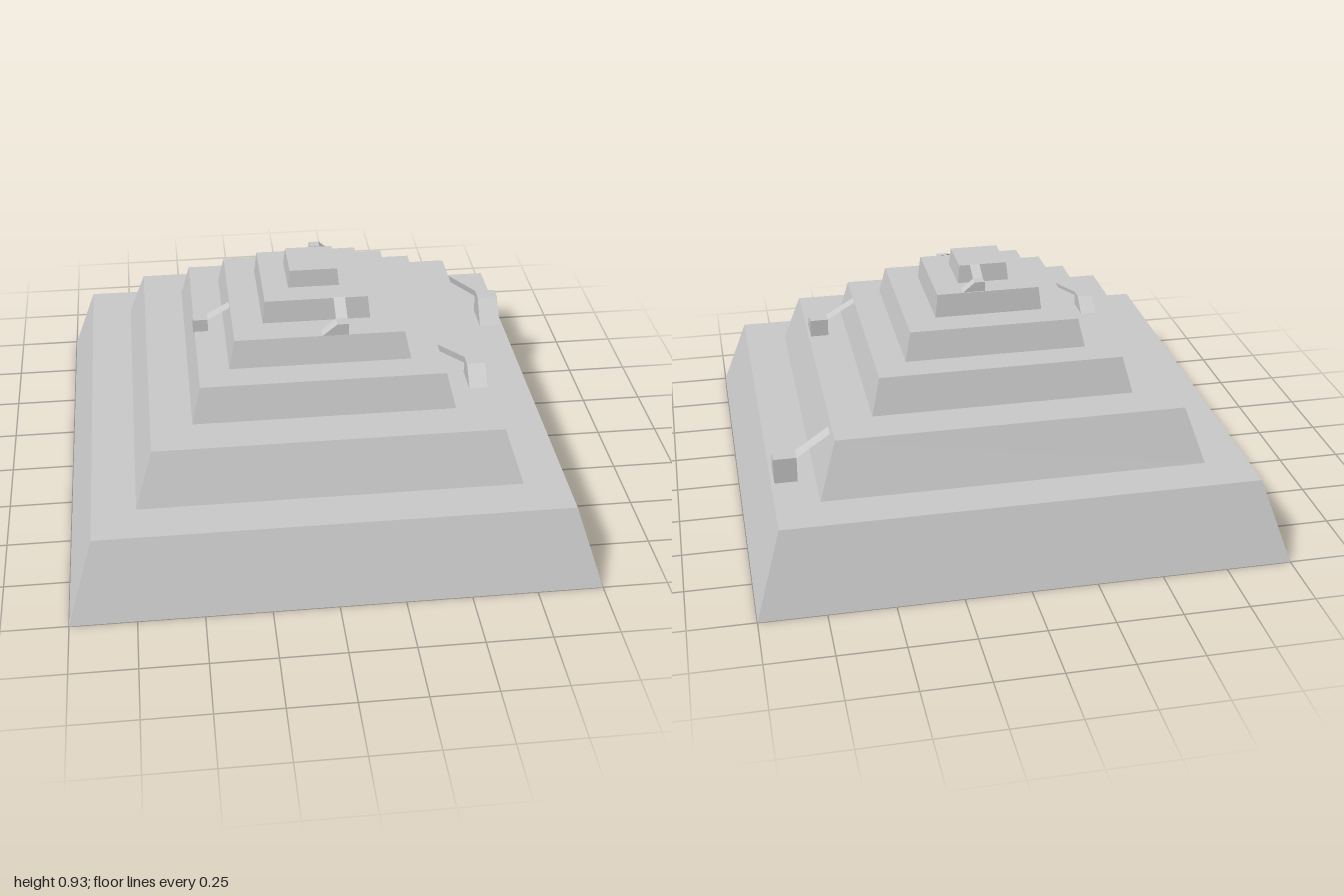
import * as THREE from 'three';

const material = new THREE.MeshStandardMaterial({
  color: 0xcccccc, flatShading: true, side: THREE.DoubleSide,
});

// Square tier with sloping walls; the lowest one is hollow and open underneath
function tier(name, y0, y1, r0, r1, open) {
  const profile = [[r0, y0], [r1, y1], [0, y1]];
  if (!open) profile.unshift([0, y0]);
  const points = profile.map(([r, y]) => new THREE.Vector2(r * Math.SQRT2, y));
  const mesh = new THREE.Mesh(new THREE.LatheGeometry(points, 4, Math.PI / 4), material);
  mesh.name = name;
  return mesh;
}

// Stair built facing +x: a thin ramp down to a landing block whose foot slopes off sideways
function stair({ turn, top, landing, base, side }) {
  const group = new THREE.Group();
  group.name = 'stair';
  const [topX, topY] = top;
  const [inX, outX, landY] = landing;
  const [s0, s1, s2] = side;

  const run = inX - topX, drop = topY - landY;
  const sheet = new THREE.PlaneGeometry(Math.hypot(run, drop), s1 - s0);
  sheet.rotateX(-Math.PI / 2).rotateZ(-Math.atan2(drop, run));
  sheet.translate((topX + inX) / 2, (topY + landY) / 2, (s0 + s1) / 2);
  const ramp = new THREE.Mesh(sheet, material);
  ramp.name = 'upperRamp';

  const outline = new THREE.Shape(
    [[s0, base], [s2, base], [s1, landY], [s0, landY]].map(p => new THREE.Vector2(...p)));
  const block = new THREE.ExtrudeGeometry(outline, { depth: outX - inX, bevelEnabled: false });
  block.rotateY(-Math.PI / 2).translate(outX, 0, 0);
  const foot = new THREE.Mesh(block, material);
  foot.name = 'landingAndLowerRamp';

  group.add(ramp, foot);
  group.rotation.y = turn;
  return group;
}

export function createModel() {
  const model = new THREE.Group();
  model.name = 'steppedPyramid';

  // Tiers: bottom y, top y, bottom half width, top half width
  [
    [0, 0.31, 1, 0.9],
    [0.31, 0.52, 0.733, 0.665],
    [0.52, 0.66, 0.505, 0.47],
    [0.66, 0.77, 0.352, 0.328],
    [0.77, 0.86, 0.21, 0.2],
    [0.86, 0.93, 0.1, 0.093],
  ].forEach((t, i) => model.add(tier(`tier${i + 1}`, ...t, i === 0)));

  // Stairs: two on the left side, one each on right, front and back
  [
    { turn: 0, top: [0.66, 0.505], landing: [0.8, 0.887, 0.41], base: 0.31, side: [-0.567, -0.507, -0.428] },
    { turn: 0, top: [0.465, 0.66], landing: [0.583, 0.655, 0.59], base: 0.52, side: [0.255, 0.307, 0.376] },
    { turn: Math.PI, top: [0.328, 0.762], landing: [0.417, 0.476, 0.712], base: 0.66, side: [-0.062, -0.014, 0.048] },
    { turn: -Math.PI / 2, top: [0.198, 0.862], landing: [0.282, 0.328, 0.817], base: 0.77, side: [-0.111, -0.066, -0.01] },
    { turn: Math.PI / 2, top: [0.092, 0.931], landing: [0.157, 0.196, 0.898], base: 0.86, side: [0.013, 0.052, 0.098] },
  ].forEach(s => model.add(stair(s)));

  return model;
}
